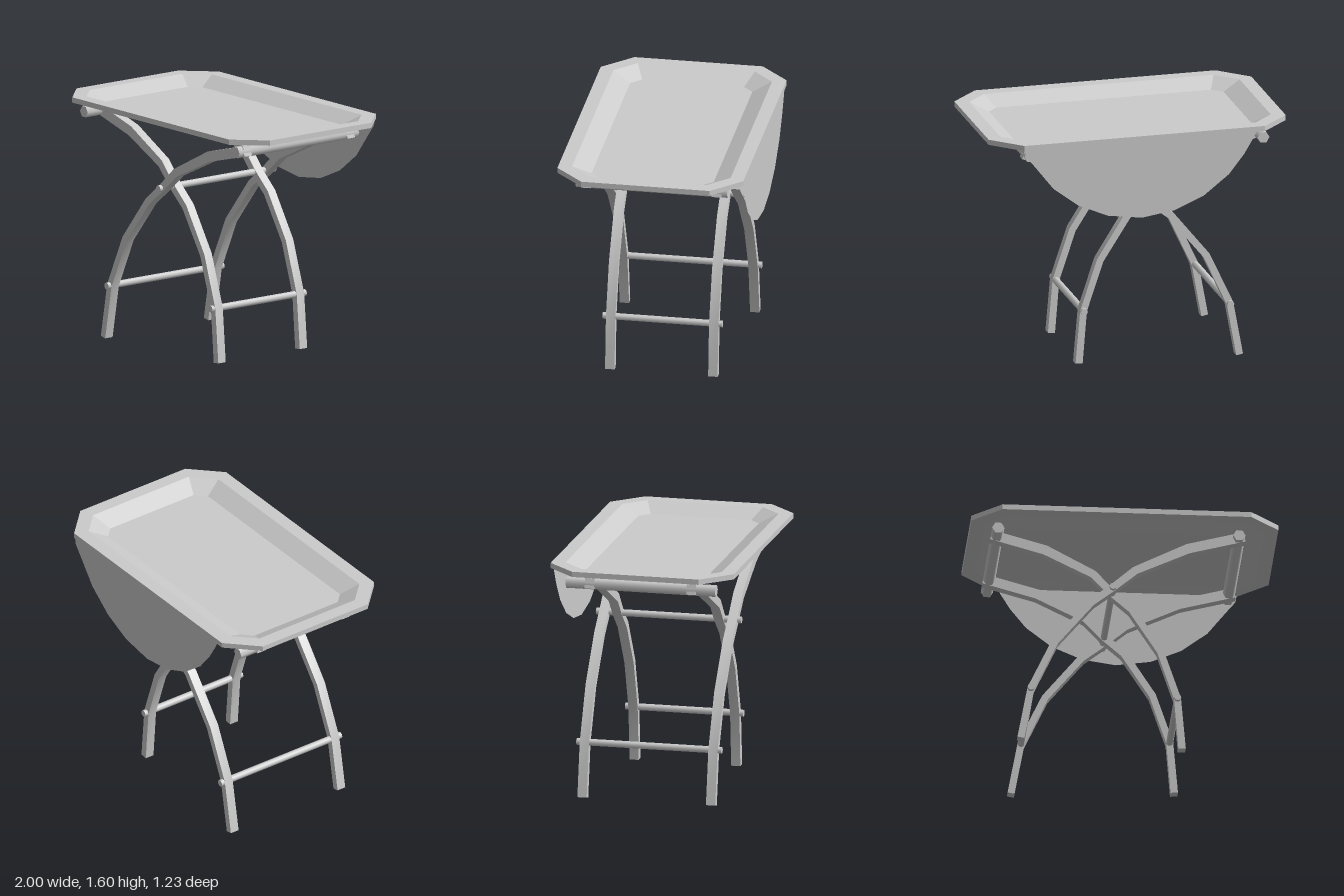
import * as THREE from 'three';
import { toCreasedNormals } from 'three/addons/utils/BufferGeometryUtils.js';

const grey = new THREE.MeshStandardMaterial({ color: 0xcccccc });
const thin = new THREE.MeshStandardMaterial({ color: 0xcccccc, side: THREE.DoubleSide });

function add(parent, name, geometry, material = grey) {
  const mesh = new THREE.Mesh(geometry, material);
  mesh.name = name;
  parent.add(mesh);
  return mesh;
}

// Rectangle with cut corners, inset from the rim's outer edge; the cut shrinks with the inset
function octagon(inset, y) {
  const x = 1 - inset, z = 0.613 - inset, c = 0.19 - 0.586 * inset;
  return [[x, z - c], [x, c - z], [x - c, -z], [c - x, -z], [-x, c - z], [-x, z - c], [c - x, z], [x - c, z]]
    .map(([px, pz]) => [px, y, pz]);
}

// Closed skin over rings running from the underside, round the rim, to the floor
function trayGeometry() {
  const rings = [
    octagon(0.21, 1.524), octagon(0.09, 1.565), octagon(0, 1.565),
    octagon(0, 1.6), octagon(0.09, 1.6), octagon(0.21, 1.54),
  ];
  const pos = [];
  const tri = (a, b, c) => pos.push(...a, ...b, ...c);
  for (let i = 0; i < 8; i++) {
    const j = (i + 1) % 8;
    for (let r = 0; r < rings.length - 1; r++) {
      const lo = rings[r], hi = rings[r + 1];
      tri(lo[i], lo[j], hi[j]);
      tri(lo[i], hi[j], hi[i]);
    }
    tri([0, 1.524, 0], rings[0][j], rings[0][i]);
    tri([0, 1.54, 0], rings[5][i], rings[5][j]);
  }
  const g = new THREE.BufferGeometry();
  g.setAttribute('position', new THREE.Float32BufferAttribute(pos, 3));
  g.computeVertexNormals();
  return g;
}

// Bent flat leg: points are [x, y, width], extruded along z
function legGeometry(points, depth) {
  const left = [], right = [];
  points.forEach(([x, y, w], i) => {
    const a = points[Math.max(i - 1, 0)], b = points[Math.min(i + 1, points.length - 1)];
    const d = new THREE.Vector2(b[0] - a[0], b[1] - a[1]).normalize();
    left.push(new THREE.Vector2(x - d.y * w / 2, y + d.x * w / 2));
    right.push(new THREE.Vector2(x + d.y * w / 2, y - d.x * w / 2));
  });
  const g = new THREE.ExtrudeGeometry(new THREE.Shape([...right, ...left.reverse()]),
    { depth, bevelEnabled: false });
  g.translate(0, 0, -depth / 2);
  return toCreasedNormals(g, 0.7);
}

// Round bar lying along z
function bar(parent, name, x, y, radius, halfLength, sides) {
  const g = new THREE.CylinderGeometry(radius, radius, halfLength * 2, sides, 1, false, Math.PI / 2);
  g.rotateX(Math.PI / 2);
  add(parent, name, g).position.set(x, y, 0);
}

export function createModel() {
  const group = new THREE.Group();
  group.name = 'foldingTrayTable';

  add(group, 'tray', trayGeometry());

  // Rounded leaf hanging from the back edge
  const flap = new THREE.Shape([
    [-0.77, 1.595], [-0.73, 1.52], [-0.67, 1.42], [-0.567, 1.29], [-0.4, 1.16], [-0.2, 1.075],
    [0.018, 1.043], [0.246, 1.075], [0.444, 1.16], [0.615, 1.29], [0.74, 1.45], [0.797, 1.52],
    [0.81, 1.595],
  ].map(p => new THREE.Vector2(...p)));
  add(group, 'hangingFlap', new THREE.ShapeGeometry(flap), thin).position.z = -0.609;

  // Two crossing frames, the outer rising to the left, the inner to the right
  const frames = [
    {
      name: 'outer', z: 0.43, top: [0.74, 1.485], foot: [-0.615, 0.36], reach: 0.485,
      path: [[-0.68, 0.005, 0.046], [-0.615, 0.36, 0.046], [-0.458, 0.698, 0.046], [-0.222, 0.987, 0.048],
        [-0.08, 1.1, 0.05], [0.065, 1.227, 0.055], [0.41, 1.395, 0.068], [0.775, 1.492, 0.068]],
    },
    {
      name: 'inner', z: 0.34, top: [-0.83, 1.485], foot: [0.347, 0.36], reach: 0.395,
      path: [[0.377, 0.003, 0.048], [0.347, 0.36, 0.046], [0.235, 0.695, 0.046], [0.05, 0.985, 0.048],
        [-0.08, 1.1, 0.05], [-0.2, 1.232, 0.055], [-0.515, 1.395, 0.068], [-0.865, 1.493, 0.068]],
    },
  ];
  for (const f of frames) {
    const frame = new THREE.Group();
    frame.name = f.name + 'Frame';
    group.add(frame);
    const leg = legGeometry(f.path, 0.062);
    for (const s of [1, -1]) add(frame, s > 0 ? 'frontLeg' : 'backLeg', leg).position.z = s * f.z;
    bar(frame, 'topBar', ...f.top, 0.04, 0.5, 6);
    bar(frame, 'footBar', ...f.foot, 0.023, f.reach, 8);
  }
  bar(group, 'pivotBar', -0.08, 1.1, 0.023, 0.485, 8);

  return group;
}
